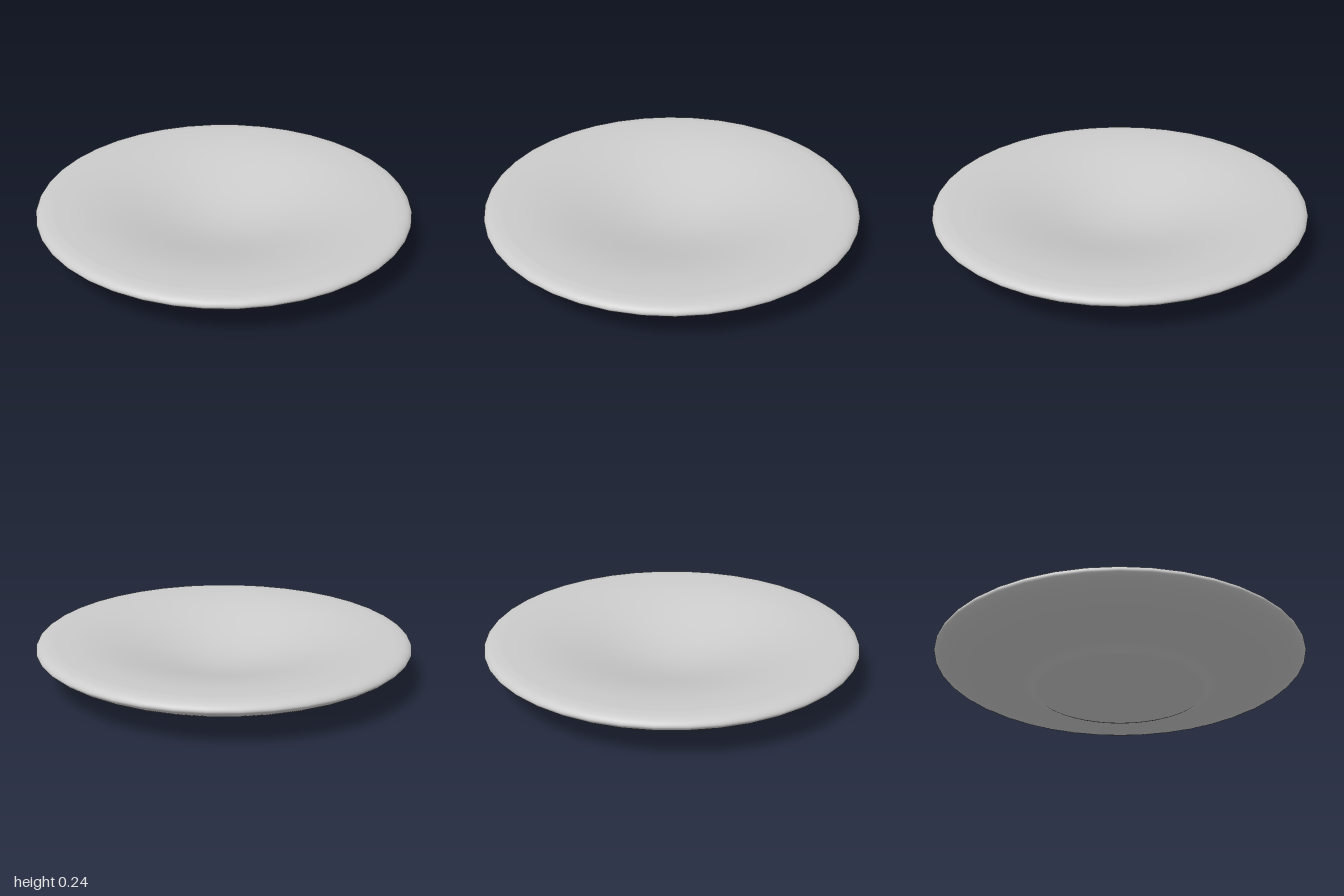
import * as THREE from 'three';

const v = (x, y) => new THREE.Vector2(x, y);

export function createModel() {
  const group = new THREE.Group();
  group.name = 'saucer';

  // Underside: shallow domed foot, its sloped step, then the sweep out to the rim
  const foot = [v(0, 0.003), v(0.15, 0.007), v(0.3, 0.017), v(0.44, 0.031)];
  const outside = new THREE.SplineCurve([
    v(0.46, 0.037), v(0.5, 0.057), v(0.54, 0.067), v(0.66, 0.083), v(0.8, 0.111),
    v(0.9, 0.141), v(0.96, 0.169), v(0.99, 0.19), v(1, 0.207),
    v(0.988, 0.226), v(0.96, 0.239), v(0.91, 0.245),
  ]).getPoints(44);

  // Dished top: a smooth fall from the rim to the centre
  const inside = [];
  const rimRadius = 0.87, centreY = 0.1, rimY = 0.244;
  for (let i = 16; i >= 0; i--) {
    const t = i / 16;
    inside.push(v(rimRadius * t, centreY + (rimY - centreY) * (1 - Math.cos(Math.PI * t)) / 2));
  }

  const dish = new THREE.Mesh(
    new THREE.LatheGeometry([...foot, ...outside, ...inside], 40),
    new THREE.MeshStandardMaterial({ color: 0xcccccc })
  );
  dish.name = 'dish';
  group.add(dish);
  return group;
}
